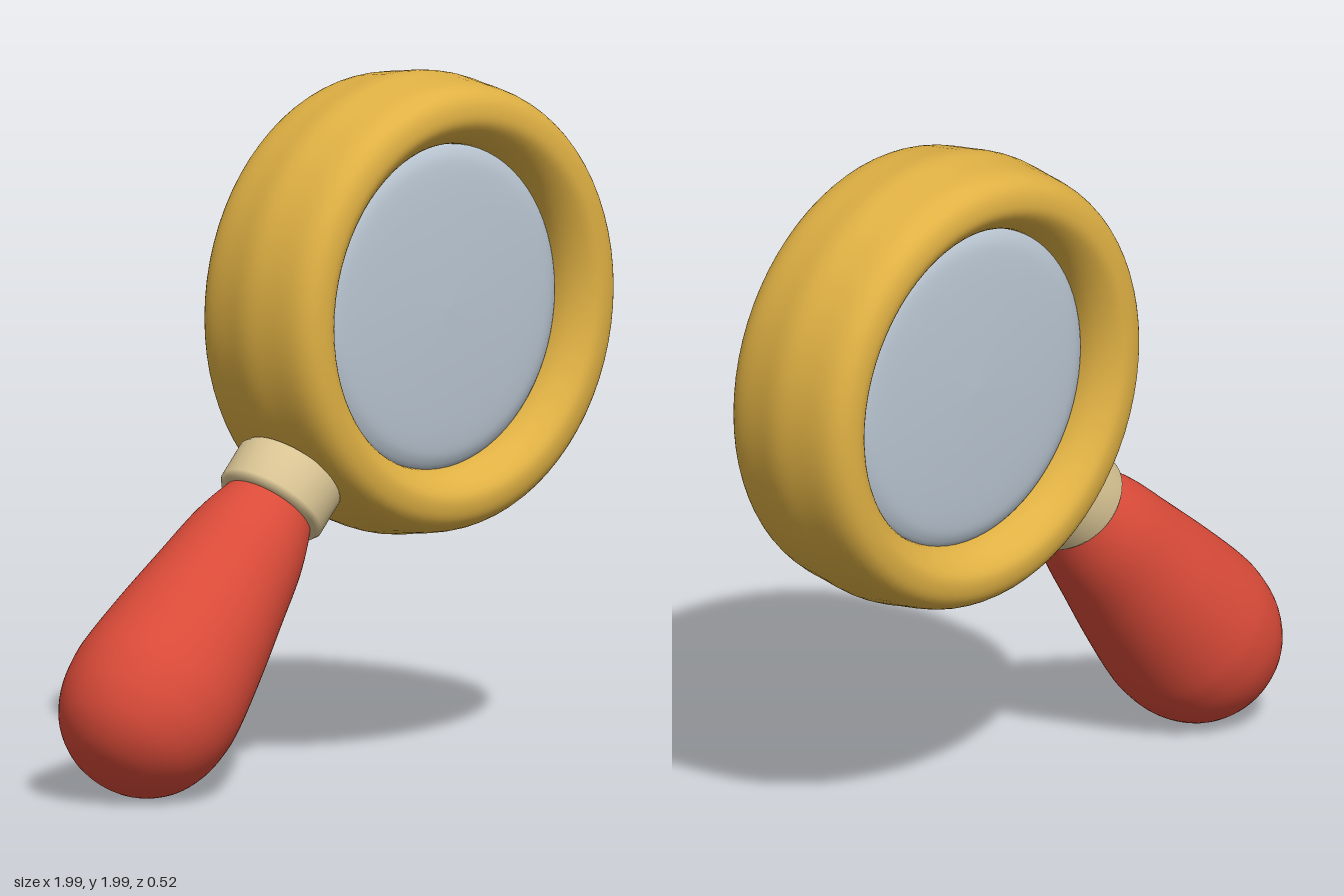
import * as THREE from 'three';

const material = (name, color) => {
  const m = new THREE.MeshStandardMaterial({ color });
  m.name = name;
  return m;
};

// Smooth turned part from a few [radius, height] points
function turned(name, points, mat, closed = false, steps = 48) {
  const curve = new THREE.SplineCurve(points.map(([r, y]) => new THREE.Vector2(r, y)));
  const profile = curve.getPoints(steps).map(p => new THREE.Vector2(Math.max(p.x, 0), p.y));
  if (closed) profile.push(profile[0].clone());
  const mesh = new THREE.Mesh(new THREE.LatheGeometry(profile, 72), mat);
  mesh.name = name;
  return mesh;
}

export function createModel() {
  const gold = material('gold', 0xe0b144);
  const glass = material('pale glass', 0xbac6d2);
  const red = material('red', 0xdb4b39);
  const tan = material('tan', 0xdcc796);
  const model = new THREE.Group();
  model.name = 'magnifyingGlass';

  // Head: thick rounded rim holding a slightly domed lens
  const head = new THREE.Group();
  head.name = 'head';
  head.position.set(0.327, 1.33, 0);
  head.rotation.x = Math.PI / 2;
  const rim = turned('rim', [
    [0.47, 0], [0.47, -0.12], [0.49, -0.18], [0.53, -0.222], [0.57, -0.23],
    [0.615, -0.215], [0.645, -0.17], [0.66, -0.08], [0.67, 0], [0.66, 0.08],
    [0.645, 0.17], [0.615, 0.215], [0.57, 0.23], [0.53, 0.222], [0.49, 0.18],
    [0.47, 0.12], [0.47, 0],
  ], gold, true, 64);
  const lens = turned('lens', [
    [0, -0.165], [0.2, -0.16], [0.38, -0.15], [0.45, -0.135], [0.48, -0.1],
    [0.485, 0], [0.48, 0.1], [0.45, 0.135], [0.38, 0.15], [0.2, 0.16], [0, 0.165],
  ], glass);
  head.add(rim, lens);

  // Grip: collar and pear-shaped handle along one slanted axis
  const grip = new THREE.Group();
  grip.name = 'grip';
  grip.position.set(-0.195, 0.845, 0);
  grip.rotation.z = Math.PI - 0.752;
  const collarProfile = [
    [0, -0.075], [0.14, -0.075], [0.155, -0.07], [0.165, -0.055],
    [0.165, 0.055], [0.155, 0.07], [0.14, 0.075], [0, 0.075],
  ].map(([r, y]) => new THREE.Vector2(r, y));
  const collar = new THREE.Mesh(new THREE.LatheGeometry(collarProfile, 48), tan);
  collar.name = 'collar';
  const handle = turned('handle', [
    [0, 0.05], [0.12, 0.055], [0.14, 0.08], [0.177, 0.2], [0.205, 0.36],
    [0.232, 0.52], [0.254, 0.68], [0.258, 0.77], [0.242, 0.87],
    [0.195, 0.96], [0.11, 1.025], [0, 1.045],
  ], red);
  grip.add(collar, handle);

  model.add(head, grip);
  return model;
}
